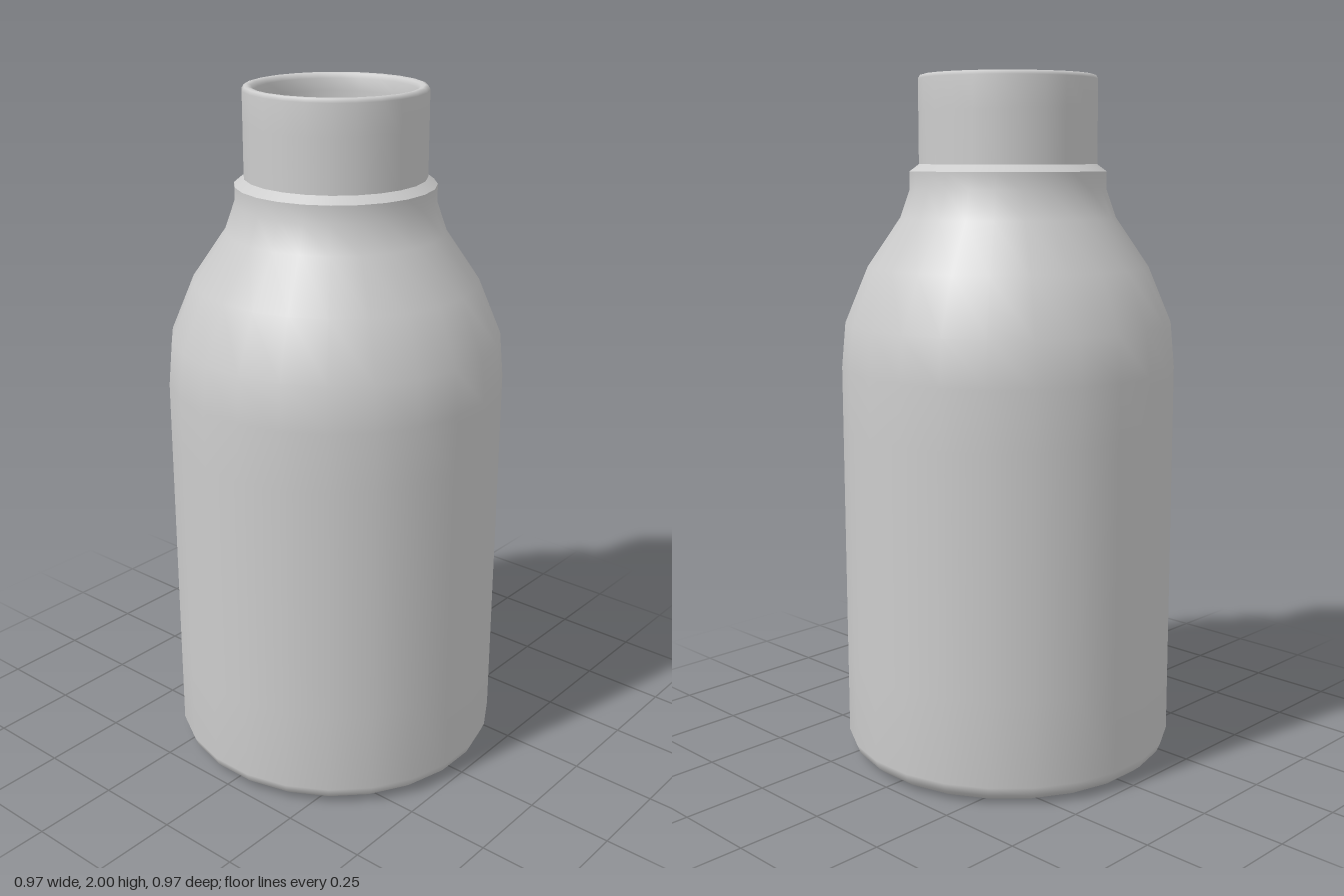
import * as THREE from 'three';

const SIDES = 24;

export function createModel() {
  const bottle = new THREE.Group();
  bottle.name = 'bottle';
  const grey = new THREE.MeshStandardMaterial({ color: 0xcccccc });
  grey.name = 'light grey';

  // Each part is a profile of [radius, height] turned around the y axis
  const turn = (name, profile) => {
    const points = profile.map(([r, y]) => new THREE.Vector2(r, y));
    const mesh = new THREE.Mesh(new THREE.LatheGeometry(points, SIDES, Math.PI / SIDES), grey);
    mesh.name = name;
    bottle.add(mesh);
  };

  // Flat base
  turn('base', [[0, 0], [0.42, 0]]);

  // Rounded foot, straight wall, shoulder and collar
  turn('body', [
    [0.42, 0], [0.455, 0.01], [0.476, 0.028], [0.487, 0.055], [0.487, 0.3],
    [0.487, 1.0], [0.487, 1.17], [0.475, 1.3], [0.408, 1.46], [0.312, 1.6],
    [0.284, 1.68], [0.284, 1.73],
  ]);

  // Small step from collar to neck
  turn('collarLedge', [[0.284, 1.73], [0.257, 1.75]]);

  // Neck with rounded lip
  turn('neck', [
    [0.257, 1.75], [0.257, 1.9], [0.257, 1.988], [0.251, 1.998], [0.243, 2],
    [0.232, 1.997], [0.225, 1.985], [0.222, 1.95], [0.222, 1.73],
  ]);

  // Hollow inside
  turn('innerWall', [
    [0.222, 1.73], [0.25, 1.67], [0.282, 1.59], [0.378, 1.445], [0.445, 1.29],
    [0.457, 1.16], [0.457, 0.07], [0.435, 0.04], [0.4, 0.03],
  ]);
  turn('innerFloor', [[0.4, 0.03], [0, 0.03]]);

  return bottle;
}
